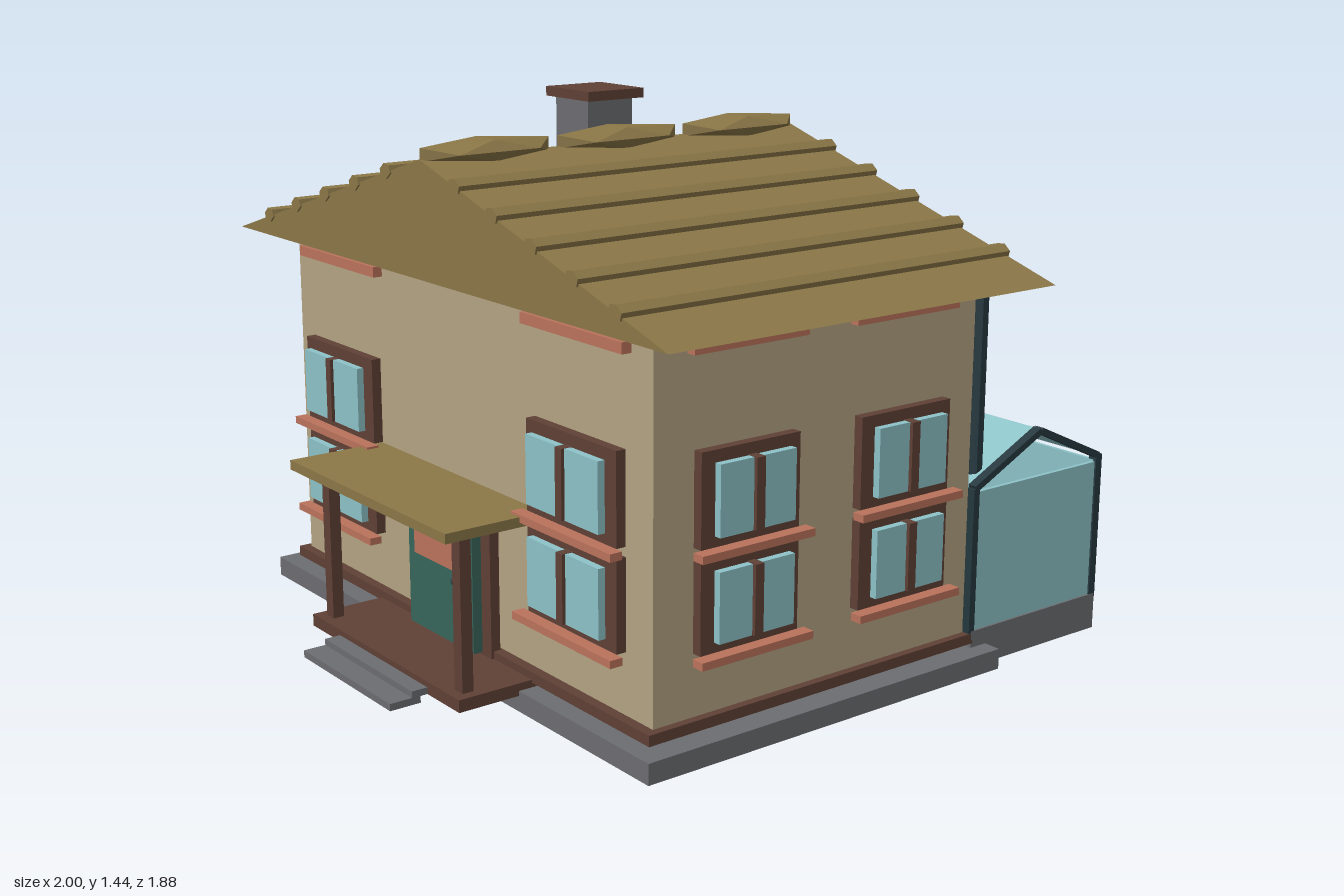
import * as THREE from 'three';

const mat = (name, color) => {
  const m = new THREE.MeshStandardMaterial({ color });
  m.name = name;
  return m;
};

export function createModel() {
  const house = new THREE.Group();
  house.name = 'house';
  const M = {
    wall: mat('plaster', 0xb3a383),
    roof: mat('strawRoof', 0x8b7747),
    wood: mat('darkWood', 0x5f4036),
    trim: mat('clayTrim', 0xba735c),
    glass: mat('glass', 0x8cc2c7),
    green: mat('doorGreen', 0x38655a),
    stone: mat('stone', 0x6c6d71),
    metal: mat('darkMetal', 0x25383f),
  };

  const add = (name, geo, material, parent = house) => {
    const mesh = new THREE.Mesh(geo, material);
    mesh.name = name;
    parent.add(mesh);
    return mesh;
  };
  // Box given by its limits on each axis
  const box = (name, m, x0, x1, y0, y1, z0, z1, parent) => {
    const b = add(name, new THREE.BoxGeometry(x1 - x0, y1 - y0, z1 - z0), m, parent);
    b.position.set((x0 + x1) / 2, (y0 + y1) / 2, (z0 + z1) / 2);
    return b;
  };
  // Slanted bar in the y-z plane
  const slant = (name, m, x, width, thick, y0, z0, y1, z1, parent) => {
    const len = Math.hypot(y1 - y0, z1 - z0);
    const b = add(name, new THREE.BoxGeometry(width, thick, len), m, parent);
    b.position.set(x, (y0 + y1) / 2, (z0 + z1) / 2);
    b.rotation.x = -Math.atan2(y1 - y0, z1 - z0);
    return b;
  };
  // Faceted lump
  const lump = (name, m, x, y, z, sx, sy, sz, parent) => {
    const geo = new THREE.IcosahedronGeometry(1, 0);
    geo.scale(sx, sy, sz);
    const l = add(name, geo, m, parent);
    l.position.set(x, y, z);
    return l;
  };

  // Foundation, plinth and walls
  box('foundation', M.stone, -0.9, 0.9, 0, 0.055, -0.505, 0.655);
  box('plinth', M.wood, -0.85, 0.85, 0.067, 0.095, -0.455, 0.615);
  box('walls', M.wall, -0.828, 0.828, 0.067, 1.05, -0.44, 0.587);

  // Gable roof with battens and ridge caps
  const gable = new THREE.Shape([
    new THREE.Vector2(-1, 1.04), new THREE.Vector2(1, 1.04), new THREE.Vector2(0, 1.345),
  ]);
  const roofGeo = new THREE.ExtrudeGeometry(gable, { depth: 1.22, bevelEnabled: false });
  roofGeo.translate(0, 0, -0.54);
  add('roof', roofGeo, M.roof);
  for (const side of [-1, 1]) {
    for (let i = 1; i <= 5; i++) {
      const geo = new THREE.CylinderGeometry(0.027, 0.027, 1.23, 6);
      geo.rotateX(Math.PI / 2);
      geo.scale(1, 0.75, 1);
      const x = side * i * 0.163;
      const batten = add('roofBatten', geo, M.roof);
      batten.position.set(x, 1.345 - Math.abs(x) * 0.305 + 0.003, 0.07);
      batten.rotation.z = -side * 0.296;
    }
  }
  for (const z of [-0.345, 0.07, 0.485]) lump('ridgeCap', M.roof, 0, 1.356, z, 0.083, 0.033, 0.228);

  // Chimney
  box('chimney', M.stone, -0.46, -0.305, 1.15, 1.42, -0.21, -0.055);
  box('chimneyCap', M.wood, -0.485, -0.278, 1.415, 1.442, -0.23, -0.038);

  // Window in its own frame: facing +z, wall surface at z = 0, bottom at y = 0
  const window_ = (w, parent, x, y) => {
    const g = new THREE.Group();
    g.name = 'window';
    g.position.set(x, y, 0);
    parent.add(g);
    const h = w / 2, p = h - 0.035;
    box('windowFrame', M.wood, -h, h, 0, 0.235, 0.008, 0.035, g);
    for (const s of [-1, 1]) {
      const a = s * 0.015, b = s * p;
      box('windowPane', M.glass, Math.min(a, b), Math.max(a, b), 0.03, 0.207, 0.042, 0.062, g);
    }
    box('windowMullion', M.wood, -0.013, 0.013, 0.03, 0.207, 0.036, 0.07, g);
    box('windowSill', M.trim, -h - 0.022, h + 0.022, -0.02, 0, 0.035, 0.07, g);
  };
  // One facade: columns of stacked windows with a trim bar under the eaves
  const facade = (name, w, columns) => {
    const g = new THREE.Group();
    g.name = name;
    house.add(g);
    for (const [x, rows] of columns) {
      for (const y of rows) window_(w, g, x, y);
      box('eavesTrim', M.trim, x - w / 2 - 0.022, x + w / 2 + 0.022, 0.985, 1.013, 0.008, 0.035, g);
    }
    return g;
  };
  const both = [0.26, 0.52];
  facade('frontFacade', 0.365, [[-0.555, both], [0.552, both]]).position.z = 0.587;
  const back = facade('backFacade', 0.365, [[-0.552, both], [0.555, both]]);
  back.position.z = -0.44;
  back.rotation.y = Math.PI;
  const left = facade('leftFacade', 0.3, [[-0.325, both], [0.175, both]]);
  left.position.x = 0.828;
  left.rotation.y = Math.PI / 2;
  const right = facade('rightFacade', 0.3, [[0.325, both], [-0.175, both]]);
  right.position.x = -0.828;
  right.rotation.y = -Math.PI / 2;

  // Porch with door: facing +z, wall surface at z = 0
  const porch = (name, depth) => {
    const g = new THREE.Group();
    g.name = name;
    house.add(g);
    box('porchFloor', M.wood, -0.37, 0.37, 0.042, 0.075, 0, depth - 0.04, g);
    box('porchRoof', M.roof, -0.388, 0.388, 0.488, 0.514, 0, depth, g);
    for (const s of [-1, 1]) box('porchPost', M.wood, s * 0.324 - 0.018, s * 0.324 + 0.018, 0.07, 0.49, depth - 0.1, depth - 0.068, g);
    box('doorFrame', M.wood, -0.197, 0.197, 0.075, 0.48, 0.008, 0.035, g);
    box('door', M.green, -0.155, 0.155, 0.082, 0.45, 0.03, 0.062, g);
    box('doorPanel', M.trim, -0.108, 0.102, 0.29, 0.382, 0.062, 0.074, g);
    const knob = add('doorKnob', new THREE.SphereGeometry(0.012, 8, 6), M.metal, g);
    knob.position.set(0.097, 0.268, 0.078);
    return g;
  };
  porch('frontPorch', 0.283).position.z = 0.587;
  const backPorch = porch('backPorch', 0.283);
  backPorch.position.z = -0.44;
  backPorch.rotation.y = Math.PI;

  // Front steps
  box('upperStep', M.stone, -0.222, 0.222, 0.042, 0.06, 0.8, 0.875);
  box('lowerStep', M.stone, -0.222, 0.222, 0.024, 0.043, 0.85, 0.938);

  // Greenhouse: base, glass walls, open-gabled glass roof, ribs
  const gh = new THREE.Group();
  gh.name = 'greenhouse';
  house.add(gh);
  box('greenhouseBase', M.stone, -0.28, 0.85, 0, 0.1, -0.935, -0.45, gh);
  box('greenhouseBackGlass', M.glass, -0.27, 0.84, 0.1, 0.485, -0.925, -0.913, gh);
  for (const x of [-0.268, 0.838]) box('greenhouseEndGlass', M.glass, x - 0.006, x + 0.006, 0.1, 0.48, -0.92, -0.46, gh);
  const eaves = [[0.49, -0.45], [0.498, -0.925]], ridge = [0.606, -0.69];
  for (const [y, z] of eaves) slant('greenhouseRoofGlass', M.glass, 0.285, 1.11, 0.008, y, z, ...ridge, gh);
  for (const x of [-0.268, 0.092, 0.462, 0.836]) {
    box('greenhousePost', M.metal, x - 0.013, x + 0.013, 0.09, 0.5, -0.938, -0.915, gh);
    box('greenhousePost', M.metal, x - 0.013, x + 0.013, 0.09, 0.49, -0.462, -0.442, gh);
    for (const [y, z] of eaves) slant('greenhouseRafter', M.metal, x, 0.026, 0.018, y, z, ...ridge, gh);
  }

  // Drainpipe
  const pipe = add('drainpipe', new THREE.CylinderGeometry(0.02, 0.02, 0.98, 6), M.metal);
  pipe.position.set(0.79, 0.55, -0.502);

  // Planter with three flowers
  const planter = new THREE.Group();
  planter.name = 'planter';
  house.add(planter);
  box('planterBox', M.wood, -0.84, -0.425, 0.055, 0.125, -0.715, -0.475, planter);
  for (const x of [-0.752, -0.63, -0.508]) {
    lump('flowerLeaves', M.green, x, 0.135, -0.602, 0.068, 0.05, 0.068, planter);
    lump('flowerHead', M.trim, x, 0.168, -0.602, 0.045, 0.03, 0.045, planter);
  }

  // Flat faces on the faceted lumps and pipes
  for (const m of Object.values(M)) m.flatShading = true;
  return house;
}
